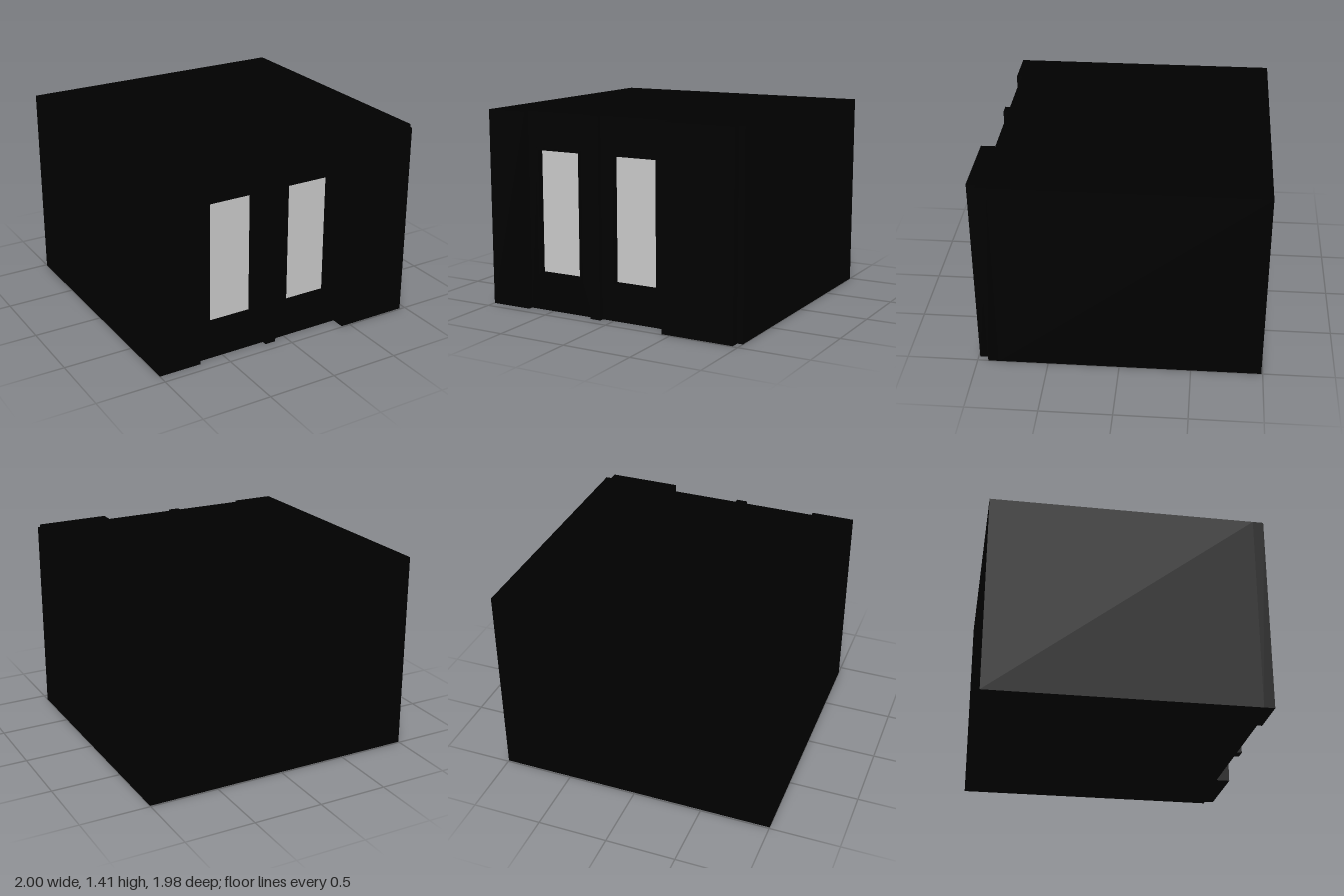
import * as THREE from 'three';

const H = 1.41;
const BACK = -0.99;
const CORE = 0.85; // front of the solid core
const WALL = 0.89; // front of the recessed wall

export function createModel() {
  const model = new THREE.Group();
  model.name = 'building';
  const dark = new THREE.MeshStandardMaterial({ color: 0x000000 });
  const pane = new THREE.MeshStandardMaterial({ color: 0xcccccc });

  const add = (name, geometry, material) => {
    const mesh = new THREE.Mesh(geometry, material);
    mesh.name = name;
    model.add(mesh);
  };
  const block = (name, x0, x1, z0, z1) => {
    const g = new THREE.BoxGeometry(x1 - x0, H, z1 - z0);
    add(name, g.translate((x0 + x1) / 2, H / 2, (z0 + z1) / 2), dark);
  };
  const rect = (Type, x0, x1, y0, y1) => {
    const p = new Type();
    p.moveTo(x0, y0).lineTo(x1, y0).lineTo(x1, y1).lineTo(x0, y1).closePath();
    return p;
  };
  const panel = (name, shape, z0, z1) => {
    const g = new THREE.ExtrudeGeometry(shape, { depth: z1 - z0, bevelEnabled: false });
    add(name, g.translate(0, 0, z0), dark);
  };

  // Main volume
  block('body', -1, 1, BACK, CORE);

  // Pilasters and the projecting bay
  block('leftPier', -1, -0.69, CORE, 0.925);
  block('middlePilaster', -0.17, -0.09, CORE, 0.925);
  block('projectingBay', 0.435, 0.96, CORE, 0.99);
  block('cornerStrip', 0.96, 1, CORE, 0.925);

  // Window bays: recessed wall, slim raised frame and pane
  const bays = [
    { x0: -0.69, x1: -0.17, w0: -0.6, w1: -0.27 },
    { x0: -0.09, x1: 0.435, w0: 0.01, w1: 0.34 },
  ];
  const y0 = 0.27, y1 = 1.145, rim = 0.015;
  for (const { x0, x1, w0, w1 } of bays) {
    const wall = rect(THREE.Shape, x0, x1, 0, H);
    wall.holes.push(rect(THREE.Path, w0 - rim, w1 + rim, y0 - rim, y1 + rim));
    panel('windowWall', wall, CORE, WALL);

    const frame = rect(THREE.Shape, w0 - rim, w1 + rim, y0 - rim, y1 + rim);
    frame.holes.push(rect(THREE.Path, w0, w1, y0, y1));
    panel('windowFrame', frame, CORE, 0.9);

    const glass = new THREE.PlaneGeometry(w1 - w0, y1 - y0);
    add('windowPane', glass.translate((w0 + w1) / 2, (y0 + y1) / 2, CORE + 0.004), pane);
  }
  return model;
}
